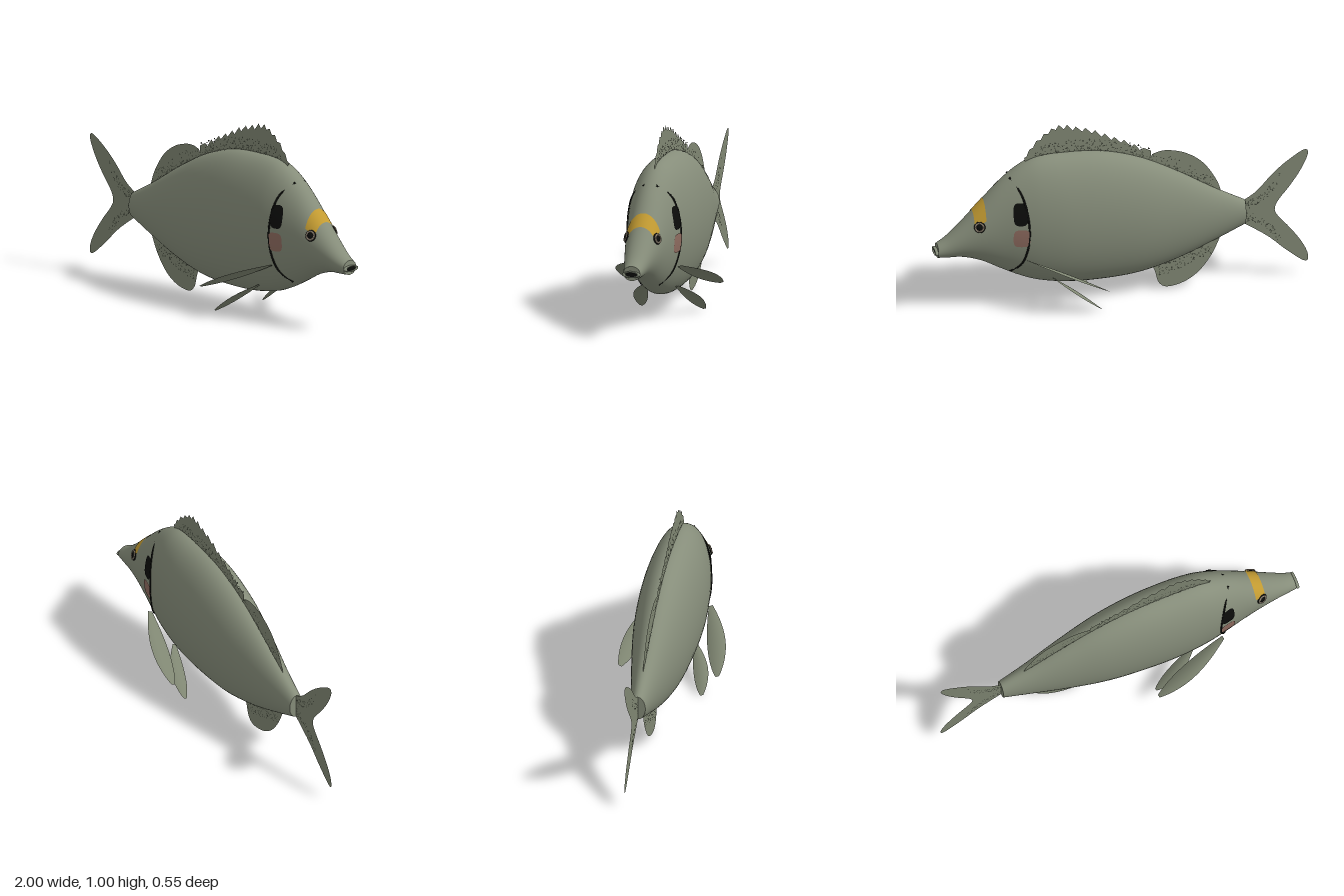
import * as THREE from 'three';
import { mergeVertices } from 'three/addons/utils/BufferGeometryUtils.js';

const mat = (name, color) => new THREE.MeshStandardMaterial({ name, color, side: THREE.DoubleSide });

// Body stations from tail to snout: x, top, bottom, half width
const STATIONS = [
  [-0.66, 0.47, 0.335, 0.04], [-0.5, 0.555, 0.262, 0.07], [-0.3, 0.675, 0.18, 0.11],
  [-0.1, 0.775, 0.125, 0.145], [0.1, 0.832, 0.107, 0.163], [0.3, 0.845, 0.112, 0.167],
  [0.45, 0.835, 0.138, 0.155], [0.55, 0.79, 0.175, 0.137], [0.65, 0.71, 0.225, 0.115],
  [0.75, 0.605, 0.278, 0.095], [0.85, 0.5, 0.308, 0.073], [0.93, 0.425, 0.312, 0.055],
  [0.98, 0.392, 0.315, 0.045],
];

// Smooth interpolation of the stations at x
function section(x) {
  const S = STATIONS, last = S.length - 1;
  let i = 0;
  while (i < last - 1 && x > S[i + 1][0]) i++;
  const slope = (k, c) => {
    const a = S[Math.max(k - 1, 0)], b = S[Math.min(k + 1, last)];
    return (b[c] - a[c]) / (b[0] - a[0]);
  };
  const h = S[i + 1][0] - S[i][0], t = (x - S[i][0]) / h, t2 = t * t, t3 = t2 * t;
  const [top, bottom, w] = [1, 2, 3].map((c) =>
    (2 * t3 - 3 * t2 + 1) * S[i][c] + (t3 - 2 * t2 + t) * h * slope(i, c) +
    (3 * t2 - 2 * t3) * S[i + 1][c] + (t3 - t2) * h * slope(i + 1, c));
  return { top, bottom, w, cy: (top + bottom) / 2, ry: (top - bottom) / 2 };
}

// Point on the skin by angle, and depth of the skin at a side position
function skin(x, angle, lift = 0) {
  const s = section(x);
  return [x, s.cy + (s.ry + lift) * Math.sin(angle), (s.w + lift) * Math.cos(angle)];
}
function depth(x, y) {
  const s = section(x);
  return s.w * Math.sqrt(Math.max(0, 1 - ((y - s.cy) / s.ry) ** 2));
}

// Surface from a rule over u, v in 0..1
function grid(nu, nv, rule) {
  const pos = [], index = [];
  for (let i = 0; i <= nu; i++) for (let j = 0; j <= nv; j++) {
    pos.push(...rule(i / nu, j / nv));
    if (i < nu && j < nv) {
      const a = i * (nv + 1) + j, b = a + nv + 1;
      index.push(a, b, a + 1, b, b + 1, a + 1);
    }
  }
  const g = new THREE.BufferGeometry();
  g.setAttribute('position', new THREE.Float32BufferAttribute(pos, 3));
  g.setIndex(index);
  const merged = mergeVertices(g, 1e-5);
  merged.computeVertexNormals();
  return merged;
}

// Flat fin through outline points, smoothed or sharp
function finShape(points, smooth = true) {
  const v = points.map((p) => new THREE.Vector2(...p));
  return new THREE.ShapeGeometry(new THREE.Shape(smooth ? new THREE.SplineCurve(v).getPoints(60) : v));
}

export function createModel() {
  const group = new THREE.Group();
  group.name = 'fish';
  const scales = mat('scales', 0x868d7a), fin = mat('fin', 0x7f8672), black = mat('black', 0x0c0d0b);
  const yellow = mat('yellow', 0xc49c32), pink = mat('pink', 0x8f6c60);
  const iris = mat('iris', 0x8c8070), fleck = mat('fleck', 0x3f4439);
  const add = (name, geometry, material, parent = group) => {
    const m = new THREE.Mesh(geometry, material);
    m.name = name;
    parent.add(m);
    return m;
  };

  // Body with closed ends
  add('body', grid(90, 56, (u, v) => skin(-0.66 + 1.64 * u, v * Math.PI * 2)), scales);
  for (const [name, x, dir] of [['tailEnd', -0.66, -1], ['snoutEnd', 0.98, 1]]) {
    const s = section(x), cap = add(name, new THREE.CircleGeometry(1, 40), scales);
    cap.scale.set(s.w, s.ry, 1);
    cap.rotation.y = dir * Math.PI / 2;
    cap.position.set(x, s.cy, 0);
  }

  // Mouth
  const lips = add('lips', new THREE.TorusGeometry(0.04, 0.009, 12, 40), scales);
  lips.scale.set(1, 0.36, 1);
  lips.rotation.y = Math.PI / 2;
  lips.position.set(0.988, 0.35, 0);
  const mouth = add('mouth', new THREE.CircleGeometry(0.037, 32), black);
  mouth.scale.y = 0.3;
  mouth.rotation.y = Math.PI / 2;
  mouth.position.set(0.99, 0.35, 0);

  // Forehead band
  add('foreheadBand', grid(8, 40, (u, v) => {
    const a = Math.PI * (0.165 + 0.67 * v);
    return skin(0.735 + 0.058 * u, a, 0.003);
  }), yellow);

  // Median fins
  add('tailFin', finShape([[-0.64, 0.46], [-0.72, 0.51], [-0.8, 0.595], [-0.88, 0.665], [-0.975, 0.725],
    [-0.997, 0.7], [-0.96, 0.615], [-0.9, 0.525], [-0.84, 0.45], [-0.82, 0.4], [-0.84, 0.355], [-0.9, 0.285],
    [-0.965, 0.195], [-0.997, 0.12], [-0.98, 0.085], [-0.88, 0.16], [-0.78, 0.25], [-0.64, 0.345]]), fin);
  add('softDorsalFin', finShape([[-0.54, 0.51], [-0.51, 0.6], [-0.44, 0.705], [-0.35, 0.77], [-0.25, 0.798],
    [-0.185, 0.79], [-0.16, 0.765], [-0.16, 0.66], [-0.3, 0.6], [-0.45, 0.52]]), fin);
  add('analFin', finShape([[-0.54, 0.3], [-0.49, 0.185], [-0.42, 0.09], [-0.34, 0.035], [-0.25, 0.015],
    [-0.205, 0.04], [-0.185, 0.1], [-0.17, 0.19], [-0.3, 0.25]]), fin);

  // Spiny dorsal fin: each spine tip is followed by a notch
  const tips = new THREE.SplineCurve([[-0.12, 0.825], [-0.03, 0.875], [0.06, 0.915], [0.15, 0.96], [0.24, 0.985],
    [0.32, 1.005], [0.39, 0.975], [0.46, 0.915], [0.515, 0.835]].map((p) => new THREE.Vector2(...p)));
  const spines = [[0.5, 0.76], [-0.16, 0.68], [-0.16, 0.805]];
  for (let i = 0; i <= 14; i++) {
    const p = tips.getPoint(i / 14), deep = 0.014 + 0.03 * (i / 14) ** 2;
    spines.push([p.x, p.y]);
    if (i < 14) spines.push([p.x + 0.016, p.y - deep]);
  }
  add('spinyDorsalFin', finShape(spines, false), fin);

  // Dark flecks along the fin bases
  let seed = 7;
  const rand = () => (seed = (seed * 16807) % 2147483647) / 2147483647;
  const flecks = [];
  const addFleck = (x, y) => {
    const w = 0.003 + 0.003 * rand(), h = 0.004 + 0.006 * rand();
    for (const z of [-0.002, 0.002]) flecks.push(x - w, y, z, x + w, y, z, x, y + h, z);
  };
  for (let i = 0; i < 260; i++) {
    const x = -0.49 + 0.95 * rand();
    addFleck(x, section(x).top + 0.065 * rand() ** 1.5);
  }
  for (let i = 0; i < 90; i++) {
    const x = -0.48 + 0.28 * rand();
    addFleck(x, section(x).bottom - 0.075 * rand());
  }
  for (let i = 0; i < 110; i++) {
    const r = rand() ** 1.4, side = rand() < 0.5 ? -1 : 1;
    addFleck(-0.665 - 0.19 * r, 0.402 + side * (0.05 * rand() + 0.16 * r * r + 0.01));
  }
  const fleckGeometry = new THREE.BufferGeometry();
  fleckGeometry.setAttribute('position', new THREE.BufferAttribute(new Float32Array(flecks), 3));
  fleckGeometry.computeVertexNormals();
  add('finFlecks', fleckGeometry, fleck);

  for (const [side, s] of [['left', 1], ['right', -1]]) {
    // Leaf-shaped paired fins swept back from root to tip
    const leaf = (root, tip, width, tilt) => grid(24, 8, (u, v) => {
      const a = 2 * v - 1, w = width * Math.sin(Math.PI * Math.min(0.04 + 0.93 * u ** 1.15, 1)) ** 0.7;
      const p = root.map((r, k) => r + (tip[k] - r) * u);
      const bow = 0.012 * Math.sin(Math.PI * u);
      return [p[0] + a * w * tilt, p[1] + a * w * 0.35 + bow * (1 - a * a), s * (p[2] + a * w + bow)];
    });
    add(side + 'PectoralFin', leaf([0.53, 0.31, 0.138], [0.12, 0.145, 0.258], 0.047, 0.15), fin);
    add(side + 'PelvicFin', leaf([0.38, 0.17, 0.085], [0.14, 0.006, 0.172], 0.036, 0.3), fin);

    // Gill cover edge
    const gill = new THREE.CatmullRomCurve3([[0.6, 0.745], [0.555, 0.68], [0.528, 0.58], [0.517, 0.46],
      [0.526, 0.36], [0.552, 0.275], [0.6, 0.218]].map(([x, y]) => new THREE.Vector3(x, y, s * depth(x, y))));
    add(side + 'GillLine', new THREE.TubeGeometry(gill, 50, 0.0055, 6), black);

    // Cheek patches laid on the skin as rounded rectangles
    const patch = (cx, cy, rx, ry) => grid(8, 40, (u, v) => {
      const a = v * Math.PI * 2, c = Math.cos(a), d = Math.sin(a);
      const x = cx + rx * u * Math.sign(c) * Math.abs(c) ** 0.6;
      const y = cy + ry * u * Math.sign(d) * Math.abs(d) ** 0.6;
      return [x, y, s * (depth(x, y) + 0.004)];
    });
    add(side + 'DarkPatch', patch(0.562, 0.572, 0.037, 0.062), black);
    add(side + 'PinkPatch', patch(0.557, 0.437, 0.043, 0.05), pink);

    // Eye turned to face out of the skin
    const ex = 0.77, ey = 0.5, e = 0.005, d0 = depth(ex, ey);
    const normal = new THREE.Vector3(-(depth(ex + e, ey) - d0) / e, -(depth(ex, ey + e) - d0) / e, s).normalize();
    const eye = new THREE.Group();
    eye.name = side + 'Eye';
    eye.position.set(ex, ey, s * d0);
    eye.quaternion.setFromUnitVectors(new THREE.Vector3(0, 0, 1), normal);
    group.add(eye);
    add('eyeRim', new THREE.SphereGeometry(0.03, 24, 16), black, eye).scale.z = 0.3;
    add('eyeIris', new THREE.TorusGeometry(0.021, 0.005, 8, 32), iris, eye).position.z = 0.006;
    add('pupil', new THREE.SphereGeometry(0.016, 20, 14), black, eye).scale.z = 0.8;
  }
  return group;
}
